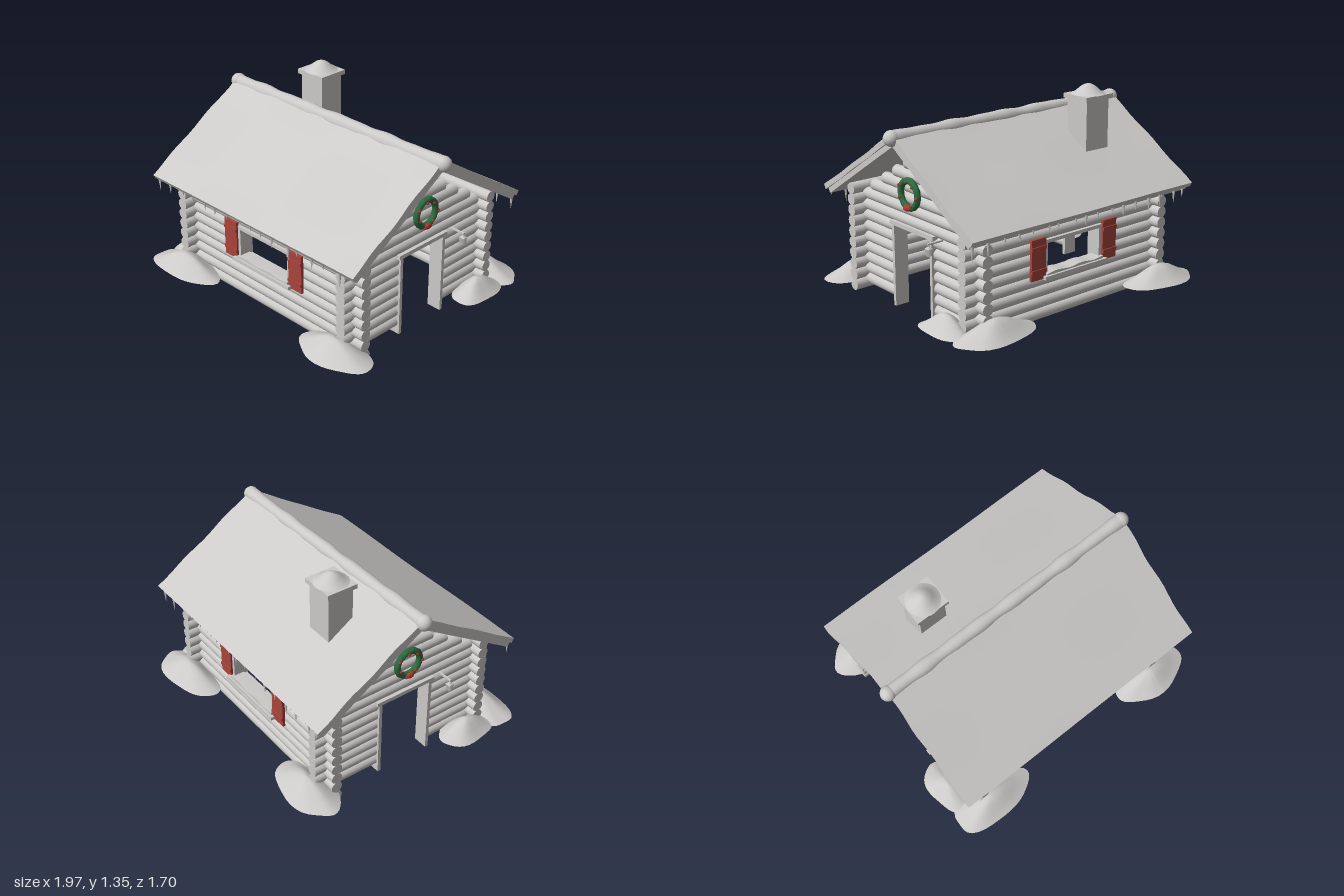
import * as THREE from 'three';

const grey = new THREE.MeshStandardMaterial({ color: 0xcccac8, side: THREE.DoubleSide });
grey.name = 'pale grey';
const red = new THREE.MeshStandardMaterial({ color: 0xa8443a });
red.name = 'shutter red';
const berryRed = new THREE.MeshStandardMaterial({ color: 0xb8332c });
berryRed.name = 'berry red';
const green = new THREE.MeshStandardMaterial({ color: 0x2e6b40 });
green.name = 'wreath green';

const PITCH = 0.0725, LOG_R = 0.038;
const WALL_Z = 0.565, WALL_X = 0.728;
const SLOPE = Math.atan(0.63), APEX = 1.095;

function add(parent, name, geo, mat, x = 0, y = 0, z = 0) {
  const m = new THREE.Mesh(geo, mat);
  m.name = name;
  m.position.set(x, y, z);
  parent.add(m);
  return m;
}
const box = (p, name, mat, w, h, d, x, y, z) => add(p, name, new THREE.BoxGeometry(w, h, d), mat, x, y, z);

// Moves every vertex by a rule and refreshes the normals
function deform(geo, rule) {
  const p = geo.attributes.position, v = new THREE.Vector3();
  for (let i = 0; i < p.count; i++) {
    v.fromBufferAttribute(p, i);
    rule(v);
    p.setXYZ(i, v.x, v.y, v.z);
  }
  geo.computeVertexNormals();
  return geo;
}

function seeded(seed) {
  return () => (seed = (seed * 16807) % 2147483647) / 2147483647;
}

// Log from a to b, along x or z
function log(p, axis, a, b, y, offset) {
  const geo = new THREE.CylinderGeometry(LOG_R, LOG_R, b - a, 16);
  const mid = (a + b) / 2;
  if (axis === 'x') add(p, 'wallLog', geo.rotateZ(Math.PI / 2), grey, mid, y, offset);
  else add(p, 'endLog', geo.rotateX(Math.PI / 2), grey, offset, y, mid);
}

function longWall(p) {
  for (let i = 0; i < 10; i++) {
    const y = 0.046 + i * PITCH;
    if (i >= 4 && i <= 6) {
      log(p, 'x', -0.838, -0.225, y, WALL_Z);
      log(p, 'x', 0.225, 0.838, y, WALL_Z);
    } else log(p, 'x', -0.838, 0.838, y, WALL_Z);
  }
  // Window frame, sill with snow, shutters
  for (const s of [-1, 1]) {
    box(p, 'windowJamb', grey, 0.022, 0.22, 0.1, s * 0.227, 0.41, WALL_Z);
    box(p, 'shutter', red, 0.115, 0.26, 0.018, s * 0.297, 0.42, 0.617);
    for (const y of [0.347, 0.493]) box(p, 'shutterBatten', red, 0.115, 0.022, 0.008, s * 0.297, y, 0.629);
  }
  box(p, 'windowHead', grey, 0.476, 0.022, 0.1, 0, 0.516, WALL_Z);
  box(p, 'windowSill', grey, 0.52, 0.022, 0.13, 0, 0.296, 0.585);
  const sillSnow = new THREE.BoxGeometry(0.47, 0.016, 0.09, 24, 1, 3);
  deform(sillSnow, v => { if (v.y > 0) v.y += 0.005 * Math.sin(v.x * 31) - 0.03 * Math.abs(v.z); });
  add(p, 'sillSnow', sillSnow, grey, 0, 0.314, 0.59);
}

function endWall(p) {
  for (let i = 0; i < 8; i++) {
    const y = 0.08 + i * PITCH;
    if (i < 7) {
      log(p, 'z', -0.67, -0.195, y, WALL_X);
      log(p, 'z', 0.195, 0.67, y, WALL_X);
    } else log(p, 'z', -0.67, 0.67, y, WALL_X);
  }
  // Stepped gable
  [0.535, 0.447, 0.325, 0.206, 0.086].forEach((h, i) => log(p, 'z', -h, h, 0.66 + i * PITCH, WALL_X));
  // Door frame
  for (const s of [-1, 1]) box(p, 'doorPost', grey, 0.1, 0.55, 0.022, WALL_X, 0.275, s * 0.193);
  box(p, 'doorLintel', grey, 0.11, 0.026, 0.44, WALL_X, 0.552, 0);
  // Lantern on a bracket
  box(p, 'lanternBracket', grey, 0.11, 0.01, 0.012, 0.81, 0.555, -0.282);
  add(p, 'lanternHook', new THREE.CylinderGeometry(0.004, 0.004, 0.03, 8), grey, 0.857, 0.542, -0.282);
  add(p, 'lanternCap', new THREE.CylinderGeometry(0.008, 0.026, 0.014, 4, 1).rotateY(Math.PI / 4), grey, 0.857, 0.533, -0.282);
  add(p, 'lanternBody', new THREE.CylinderGeometry(0.025, 0.02, 0.045, 4, 1).rotateY(Math.PI / 4), grey, 0.857, 0.505, -0.282);
}

function wreath(p) {
  const g = new THREE.Group();
  g.name = 'wreath';
  g.position.set(0.787, 0.78, 0);
  g.rotation.y = Math.PI / 2;
  p.add(g);
  const ring = new THREE.TorusGeometry(0.085, 0.021, 10, 48);
  deform(ring, v => {
    const a = Math.atan2(v.y, v.x);
    v.multiplyScalar(1 + 0.02 * Math.sin(a * 12) * Math.cos(v.z * 150));
  });
  add(g, 'wreathRing', ring, green);
  for (let i = 0; i < 7; i++) {
    const a = Math.PI / 2 + 0.15 + (i * Math.PI * 2) / 7;
    const r = 0.085 + (i % 2 ? 0.008 : -0.008);
    add(g, 'berry', new THREE.SphereGeometry(0.01, 10, 8), berryRed, r * Math.cos(a), r * Math.sin(a), 0.018);
  }
  add(g, 'bow', new THREE.SphereGeometry(1, 16, 10).scale(0.033, 0.019, 0.016), berryRed, 0, -0.084, 0.018);
  add(g, 'wreathString', new THREE.CylinderGeometry(0.002, 0.002, 0.21, 6), grey, 0, 0.205, -0.059);
}

function roofSide(p, seed) {
  const g = new THREE.Group();
  g.name = 'roofSide';
  g.position.y = APEX;
  g.rotation.x = SLOPE;
  p.add(g);
  box(g, 'roofBoards', grey, 1.8, 0.034, 0.84, 0, 0.017, 0.42);
  // Softly uneven snow blanket
  const snow = new THREE.BoxGeometry(1.82, 0.034, 0.85, 36, 1, 14);
  const p0 = snow.attributes.position, n0 = snow.attributes.normal;
  for (let i = 0; i < p0.count; i++) {
    const x = p0.getX(i), z = p0.getZ(i);
    if (p0.getY(i) > 0) p0.setY(i, 0.017 + 0.003 * Math.sin(x * 5 + seed) * Math.cos(z * 6));
    if (Math.abs(x) > 0.9) p0.setX(i, x + 0.005 * Math.sin(z * 17 + seed));
    if (n0.getY(i) > 0.9) n0.setXYZ(i, -0.015 * Math.cos(x * 5 + seed) * Math.cos(z * 6), 1, 0);
  }
  add(g, 'roofSnow', snow, grey, 0, 0.051, 0.427);

  // Icicles along the eave
  const rnd = seeded(seed * 977 + 13);
  for (let i = 0; i < 17; i++) {
    const x = -0.86 + i * 0.1075 + (rnd() - 0.5) * 0.05;
    const len = 0.045 + 0.09 * rnd() * rnd() + (i === 0 || i === 15 ? 0.04 : 0);
    const cone = new THREE.ConeGeometry(0.007 + len * 0.05, len, 8).rotateX(Math.PI);
    add(p, 'icicle', cone, grey, x, 0.672 - len / 2, 0.722);
  }
}

function drift(p, x, z, rx, rz, seed) {
  const profile = [[1, 0], [0.8, 0.2], [0.6, 0.45], [0.38, 0.76], [0.18, 0.95], [0, 1]]
    .map(([r, y]) => new THREE.Vector2(r, y));
  const geo = deform(new THREE.LatheGeometry(profile, 36), v => {
    const a = Math.atan2(v.z, v.x);
    const k = 1 + 0.05 * Math.sin(a * 3 + seed) + 0.03 * Math.sin(a * 5 + seed * 2);
    v.set(v.x * rx * k, v.y * 0.105, v.z * rz * k);
  });
  add(p, 'snowDrift', geo, grey, x, 0.067, z);
}

function half(seed) {
  const g = new THREE.Group();
  g.name = 'houseHalf';
  longWall(g);
  endWall(g);
  wreath(g);
  roofSide(g, seed);
  drift(g, -0.69, 0.69, 0.29, 0.15, seed);
  drift(g, 0.7, 0.69, 0.275, 0.15, seed + 2);
  drift(g, 0.862, -0.445, 0.125, 0.2, seed + 4);
  return g;
}

function chimney(p) {
  box(p, 'chimneyShaft', grey, 0.19, 0.4, 0.175, -0.41, 1.06, -0.296);
  box(p, 'chimneyCap', grey, 0.23, 0.03, 0.21, -0.41, 1.268, -0.296);
  const pts = [[0.112, 0], [0.085, 0.012], [0.06, 0.036], [0.035, 0.054], [0.015, 0.062], [0, 0.064]]
    .map(([r, y]) => new THREE.Vector2(r, y));
  add(p, 'chimneySnow', new THREE.LatheGeometry(pts, 28), grey, -0.41, 1.282, -0.296);
}

export function createModel() {
  const root = new THREE.Group();
  root.name = 'logCabin';
  const house = new THREE.Group();
  house.name = 'house';
  house.position.x = 0.008;
  root.add(house);

  // The two halves are the same, turned half a circle
  house.add(half(1));
  const back = half(2);
  back.rotation.y = Math.PI;
  house.add(back);

  // Lumpy ridge of snow with rounded ends
  const ridge = new THREE.CylinderGeometry(0.044, 0.044, 1.81, 16, 48, true).rotateZ(Math.PI / 2);
  deform(ridge, v => {
    const k = 1 + 0.07 * Math.sin(v.x * 17) + 0.05 * Math.sin(v.x * 29 + 1);
    v.y *= k;
    v.z *= k;
  });
  add(house, 'ridgeSnow', ridge, grey, 0, 1.147, 0);
  for (const s of [-1, 1]) add(house, 'ridgeEnd', new THREE.SphereGeometry(0.05, 20, 14), grey, s * 0.905, 1.147, 0);

  chimney(house);
  return root;
}
